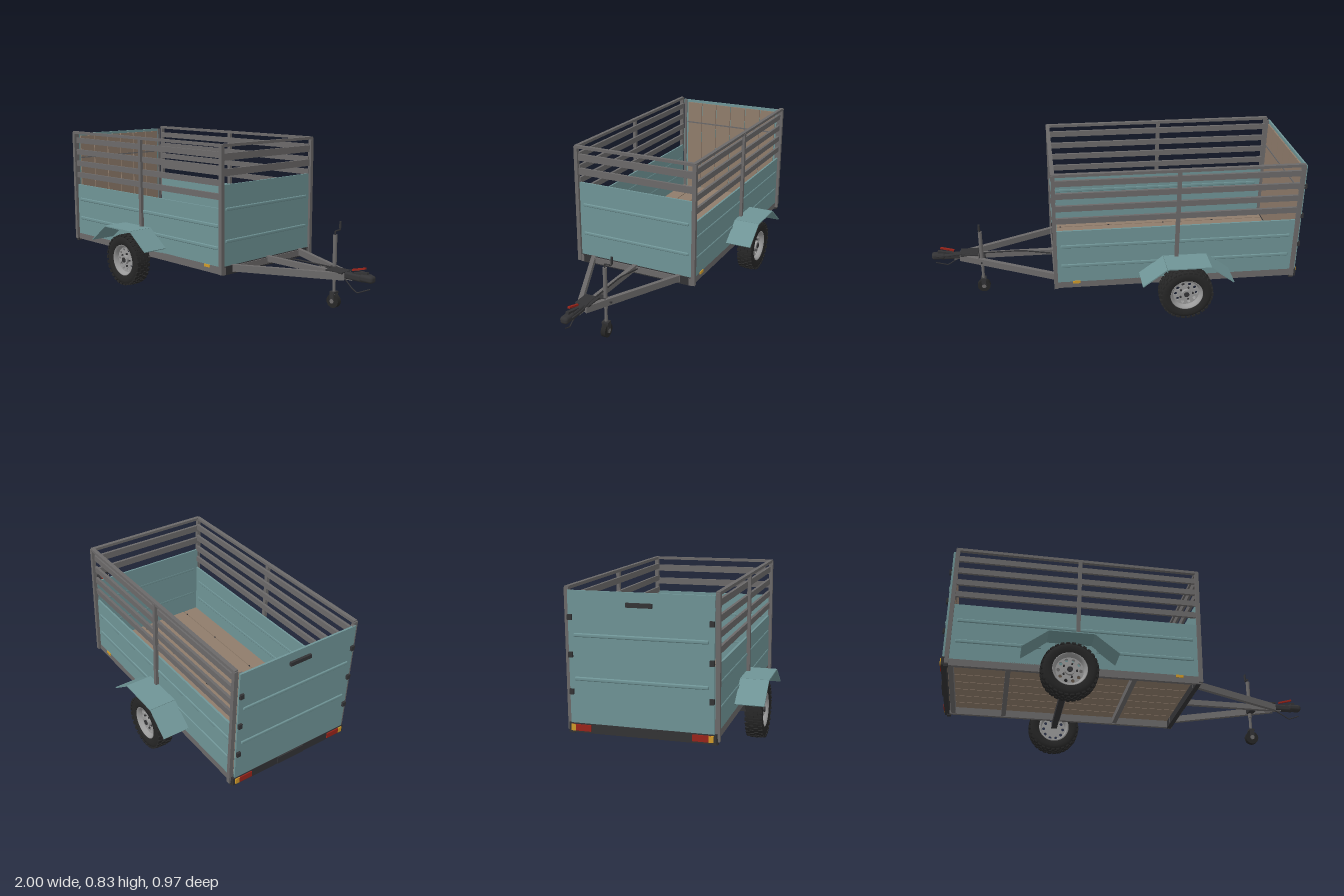
import * as THREE from 'three';
import { RoundedBoxGeometry } from 'three/addons/geometries/RoundedBoxGeometry.js';

const paint = (color, side = THREE.FrontSide) => new THREE.MeshStandardMaterial({ color, side });
const TEAL = paint(0x6f9496, THREE.DoubleSide), WOOD = paint(0x8f7c6b), STEEL = paint(0x6b6969);
const DARK = paint(0x333335), RUBBER = paint(0x262626), RIM = paint(0x9a9a9a, THREE.DoubleSide);
const RED = paint(0x9a241a), AMBER = paint(0xd09a2a);

export function createModel() {
  const root = new THREE.Group();
  root.name = 'cargoTrailer';

  const add = (name, geo, mat, x = 0, y = 0, z = 0, parent = root) => {
    const m = new THREE.Mesh(geo, mat);
    m.name = name;
    m.position.set(x, y, z);
    parent.add(m);
    return m;
  };
  const box = (name, mat, w, h, d, x, y, z, parent) =>
    add(name, new THREE.BoxGeometry(w, h, d), mat, x, y, z, parent);
  // square beam running from a to b
  const beam = (name, mat, a, b, h, w) => {
    const p = new THREE.Vector3(...a), q = new THREE.Vector3(...b);
    const m = box(name, mat, w, h, p.distanceTo(q), 0, 0, 0);
    m.position.copy(p).lerp(q, 0.5);
    m.lookAt(q);
    return m;
  };
  const tube = (name, mat, pts, r) => add(name, new THREE.TubeGeometry(
    new THREE.CatmullRomCurve3(pts.map(p => new THREE.Vector3(...p)), false, 'catmullrom', 0.1), 24, r, 8), mat);
  const cyl = (name, mat, r, h, x, y, z, parent) =>
    add(name, new THREE.CylinderGeometry(r, r, h, 20), mat, x, y, z, parent);

  // floor planks
  for (let i = 0; i < 7; i++) box('floorPlank', WOOD, 1.27, 0.014, 0.091, -0.32, 0.217, (i - 3) * 0.096);

  // chassis frame
  for (const s of [1, -1]) box('chassisSideBeam', STEEL, 1.29, 0.04, 0.02, -0.32, 0.19, s * 0.33);
  for (const x of [-0.94, -0.66, -0.35, -0.02]) box('chassisCrossBeam', STEEL, 0.025, 0.036, 0.65, x, 0.192, 0);
  box('frontCrossBeam', DARK, 0.025, 0.045, 0.67, 0.31, 0.19, 0);
  box('frontBeamPlate', STEEL, 0.008, 0.033, 0.54, 0.325, 0.193, 0);
  for (const x of [-0.65, -0.35, -0.02, 0.27])
    for (let i = 0; i < 6; i++) cyl('floorBolt', DARK, 0.005, 0.004, x, 0.224, (i - 2.5) * 0.096);

  // body sides with pressed ribs, rails and posts
  for (const s of [1, -1]) {
    box('sidePanel', TEAL, 1.27, 0.305, 0.01, -0.32, 0.358, s * 0.335);
    for (const y of [0.42, 0.305]) {
      const rib = add('sideRib', new RoundedBoxGeometry(1.22, 0.02, 0.016, 2, 0.006), TEAL, -0.32, y, s * 0.336);
      rib.castShadow = false;
    }
    for (const y of [0.78, 0.71, 0.64, 0.57]) box('sideRail', STEEL, 1.27, 0.031, 0.014, -0.32, y, s * 0.336);
    box('topRail', STEEL, 1.29, 0.015, 0.02, -0.32, 0.828, s * 0.345);
    for (const x of [-0.96, 0.32]) box('cornerPost', STEEL, 0.02, 0.655, 0.021, x, 0.502, s * 0.346);
    box('middlePost', STEEL, 0.02, 0.55, 0.018, -0.32, 0.555, s * 0.348);
    box('sideMarker', AMBER, 0.04, 0.014, 0.006, 0.21, 0.203, s * 0.342);
  }

  // front wall
  box('frontPanel', TEAL, 0.01, 0.425, 0.67, 0.312, 0.418, 0);
  for (const y of [0.505, 0.34])
    add('frontRib', new RoundedBoxGeometry(0.016, 0.018, 0.63, 2, 0.006), TEAL, 0.314, y, 0);
  for (const y of [0.77, 0.692]) box('frontRail', STEEL, 0.014, 0.036, 0.67, 0.314, y, 0);
  box('frontTopRail', STEEL, 0.02, 0.015, 0.7, 0.32, 0.828, 0);

  // tailgate: sheet outside, timber lining inside
  box('tailgatePanel', TEAL, 0.01, 0.62, 0.67, -0.978, 0.51, 0);
  for (let i = 0; i < 6; i++) box('tailgateBoard', WOOD, 0.008, 0.585, 0.096, -0.968, 0.512, (i - 2.5) * 0.101);
  box('tailgateBatten', STEEL, 0.007, 0.008, 0.61, -0.964, 0.672, 0);
  for (const y of [0.62, 0.42])
    add('tailgateRib', new RoundedBoxGeometry(0.016, 0.018, 0.62, 2, 0.006), TEAL, -0.981, y, 0);
  box('tailgateHandle', DARK, 0.014, 0.02, 0.12, -0.988, 0.765, 0);
  for (const s of [1, -1]) {
    box('tailgateStile', STEEL, 0.014, 0.62, 0.016, -0.973, 0.51, s * 0.322);
    for (const y of [0.36, 0.53, 0.7]) box('tailgateLatch', DARK, 0.016, 0.025, 0.02, -0.986, y, s * 0.325);
  }

  // rear light bar
  box('rearBumper', DARK, 0.025, 0.045, 0.69, -0.973, 0.19, 0);
  box('numberPlateHolder', DARK, 0.006, 0.04, 0.16, -0.988, 0.192, 0);
  for (const s of [1, -1]) {
    box('rearLamp', RED, 0.008, 0.03, 0.085, -0.987, 0.192, s * 0.28);
    box('turnLamp', AMBER, 0.009, 0.03, 0.022, -0.987, 0.192, s * 0.322);
    box('rearFoot', DARK, 0.022, 0.03, 0.025, -0.962, 0.175, s * 0.335);
  }

  // axle and wheels
  box('axle', DARK, 0.032, 0.032, 0.74, -0.365, 0.152, 0);
  const outline = (pts) => pts.map(p => new THREE.Vector2(...p));
  const tyreGeo = new THREE.LatheGeometry(outline([[0.083, -0.032], [0.09, -0.04], [0.115, -0.043],
    [0.132, -0.039], [0.138, -0.03], [0.14, 0], [0.138, 0.03], [0.132, 0.039], [0.115, 0.043],
    [0.09, 0.04], [0.083, 0.032], [0.083, -0.032]]), 48);
  const rimGeo = new THREE.LatheGeometry(outline([[0.076, -0.034], [0.086, -0.036], [0.084, -0.03],
    [0.07, -0.02], [0.07, 0.016], [0.084, 0.03], [0.088, 0.037], [0.083, 0.038], [0.076, 0.028], [0.07, 0.012]]), 40);
  const disc = new THREE.Shape().absarc(0, 0, 0.073, 0, Math.PI * 2);
  for (let i = 0; i < 10; i++) {
    const a = i * Math.PI / 5;
    disc.holes.push(new THREE.Path().absarc(Math.cos(a) * 0.056, Math.sin(a) * 0.056, 0.009, 0, Math.PI * 2, true));
  }
  const discGeo = new THREE.ExtrudeGeometry(disc, { depth: 0.006, bevelEnabled: false, curveSegments: 20 });
  const lugGeo = new THREE.BoxGeometry(0.019, 0.009, 0.022);
  for (const s of [1, -1]) {
    const wheel = new THREE.Group();
    wheel.name = 'wheel';
    wheel.position.set(-0.365, 0.15, s * 0.413);
    if (s < 0) wheel.rotation.y = Math.PI;
    root.add(wheel);
    add('tyre', tyreGeo, RUBBER, 0, 0, 0, wheel).rotation.x = Math.PI / 2;
    add('rim', rimGeo, RIM, 0, 0, 0, wheel).rotation.x = Math.PI / 2;
    add('wheelDisc', discGeo, RIM, 0, 0, 0.008, wheel);
    cyl('hub', RIM, 0.026, 0.02, 0, 0, 0.019, wheel).rotation.x = Math.PI / 2;
    cyl('hubCap', DARK, 0.014, 0.02, 0, 0, 0.024, wheel).rotation.x = Math.PI / 2;
    for (let i = 0; i < 5; i++) {
      const a = i * Math.PI * 0.4;
      cyl('wheelNut', DARK, 0.005, 0.01, Math.cos(a) * 0.036, Math.sin(a) * 0.036, 0.017, wheel).rotation.x = Math.PI / 2;
    }
    // tread lugs in four staggered rows
    [-0.032, -0.011, 0.011, 0.032].forEach((z, row) => {
      for (let i = 0; i < 30; i++) {
        const a = (i + (row % 2) / 2) * Math.PI / 15, r = Math.abs(z) > 0.02 ? 0.137 : 0.14;
        add('treadLug', lugGeo, RUBBER, Math.sin(a) * r, Math.cos(a) * r, z, wheel).rotation.z = -a;
      }
    });

    // folded mudguard: one strip per bend
    const bends = [[-0.605, 0.238], [-0.48, 0.333], [-0.25, 0.333], [-0.125, 0.238]];
    for (let i = 0; i < 3; i++) {
      const [a, b] = [bends[i], bends[i + 1]];
      beam('mudguardStrip', TEAL, [...a, s * 0.412], [...b, s * 0.412], 0.006, 0.145);
    }
    // inner cheek plate, cut round the wheel
    const cheek = new THREE.Shape();
    cheek.moveTo(-0.505, 0.22);
    cheek.lineTo(-0.505, 0.314);
    cheek.lineTo(-0.48, 0.333);
    cheek.lineTo(-0.25, 0.333);
    cheek.lineTo(-0.225, 0.314);
    cheek.lineTo(-0.225, 0.22);
    cheek.absarc(-0.365, 0.15, 0.147, 0.46, Math.PI - 0.46, false);
    add('mudguardCheek', new THREE.ExtrudeGeometry(cheek, { depth: 0.004, bevelEnabled: false }), TEAL, 0, 0, s * 0.348 - 0.002);
  }

  // drawbar
  for (const s of [1, -1]) beam('drawbarArm', STEEL, [0.3, 0.197, s * 0.27], [0.84, 0.203, s * 0.018], 0.036, 0.022);
  box('drawbarSpine', STEEL, 0.56, 0.03, 0.024, 0.6, 0.203, 0);
  box('drawbarGusset', DARK, 0.1, 0.008, 0.08, 0.79, 0.222, 0);

  // coupling head with hand brake and breakaway cable
  add('couplingBody', new RoundedBoxGeometry(0.13, 0.034, 0.034, 3, 0.01), DARK, 0.89, 0.208, 0);
  add('couplingHead', new RoundedBoxGeometry(0.075, 0.036, 0.044, 3, 0.014), DARK, 0.9625, 0.212, 0);
  beam('couplingLever', DARK, [0.88, 0.222, 0], [0.965, 0.238, 0], 0.012, 0.018);
  beam('brakeHandle', RED, [0.875, 0.24, 0], [0.95, 0.26, 0], 0.009, 0.012);
  tube('breakawayCable', DARK, [[0.84, 0.19, 0.012], [0.89, 0.155, 0.022], [0.92, 0.138, 0.02], [0.985, 0.165, 0.005]], 0.003);
  tube('plugLead', DARK, [[0.33, 0.2, -0.02], [0.5, 0.225, -0.016], [0.8, 0.225, -0.02], [0.9, 0.23, -0.04], [0.97, 0.222, -0.03]], 0.004);

  // jockey wheel with crank
  const jx = 0.72, jz = -0.06;
  cyl('jockeyOuterTube', STEEL, 0.0105, 0.22, jx, 0.272, jz);
  cyl('jockeyInnerTube', STEEL, 0.008, 0.12, jx, 0.13, jz);
  box('jockeyClamp', DARK, 0.035, 0.035, 0.06, jx, 0.203, jz + 0.022);
  beam('jockeyClampHandle', DARK, [jx, 0.205, jz - 0.01], [jx, 0.2, jz - 0.035], 0.008, 0.008);
  box('jockeyForkTop', DARK, 0.03, 0.01, 0.036, jx, 0.085, jz);
  for (const s of [1, -1]) box('jockeyForkLeg', DARK, 0.025, 0.056, 0.004, jx, 0.06, jz + s * 0.016);
  cyl('jockeyTyre', RUBBER, 0.036, 0.025, jx, 0.04, jz).rotation.x = Math.PI / 2;
  cyl('jockeyHub', STEEL, 0.012, 0.037, jx, 0.04, jz).rotation.x = Math.PI / 2;
  tube('jockeyCrank', DARK, [[jx, 0.38, jz], [jx, 0.4, jz], [jx, 0.402, jz - 0.038], [jx, 0.425, jz - 0.04]], 0.004);
  cyl('jockeyCrankGrip', DARK, 0.006, 0.034, jx, 0.429, jz - 0.04);

  return root;
}
